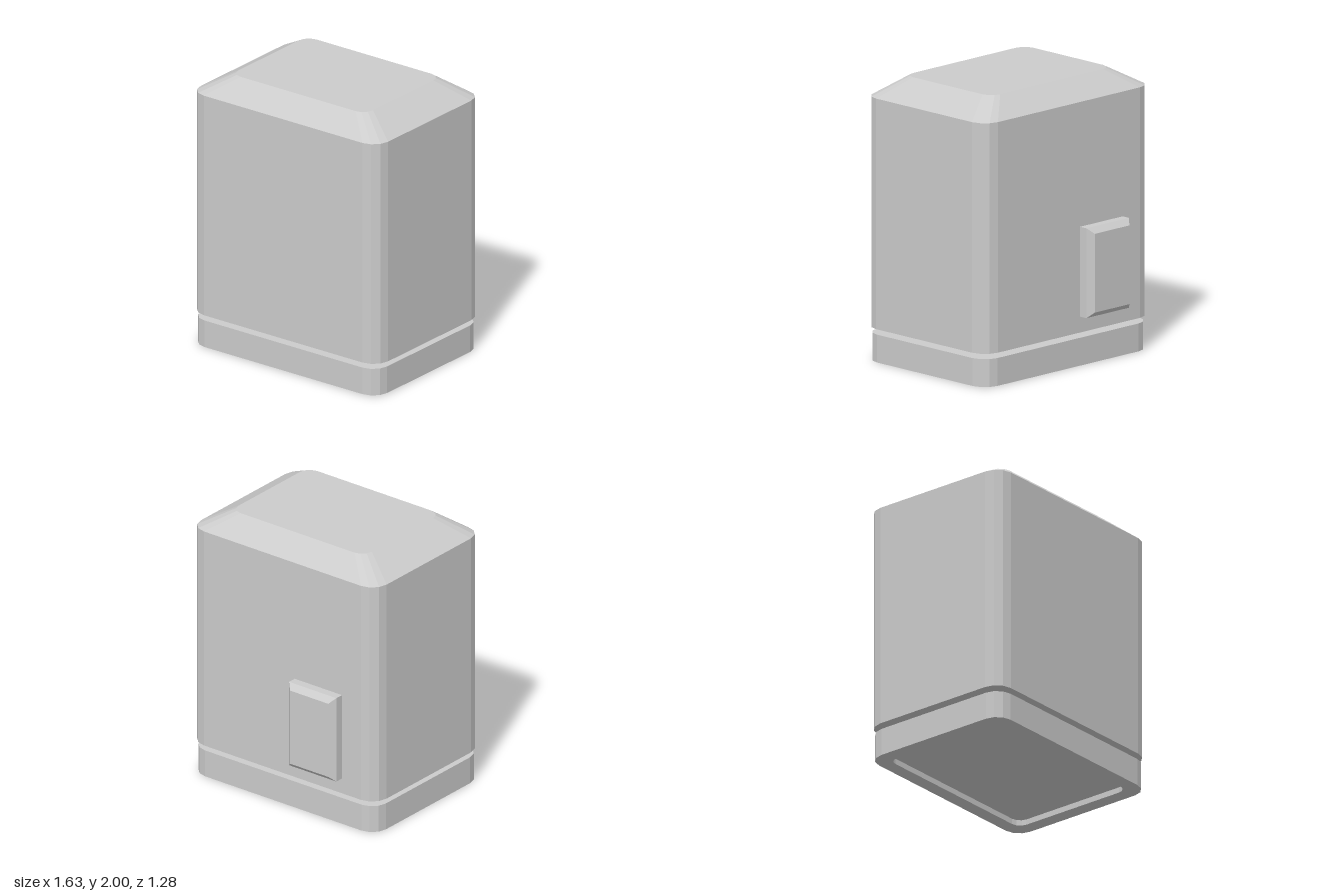
import * as THREE from 'three';

// Rounded-rectangle cross-section at height y, anticlockwise seen from above
function ring(y, x0, x1, z0, z1, r, segments = 3) {
  const corners = [[x1 - r, z0 + r], [x0 + r, z0 + r], [x0 + r, z1 - r], [x1 - r, z1 - r]];
  const points = [];
  corners.forEach(([cx, cz], q) => {
    const n = r > 0 ? segments : 0;
    for (let i = 0; i <= n; i++) {
      const a = (q + (n ? i / n : 0)) * Math.PI / 2;
      points.push(new THREE.Vector3(cx + r * Math.cos(a), y, cz - r * Math.sin(a)));
    }
  });
  return points;
}

// Faceted skin through successive rings, closed at both ends
function loft(name, rings, material) {
  const n = rings[0].length;
  const tris = [];
  for (let k = 0; k < rings.length - 1; k++) {
    const a = rings[k], b = rings[k + 1];
    for (let i = 0; i < n; i++) {
      const j = (i + 1) % n;
      tris.push(a[i], a[j], b[j], a[i], b[j], b[i]);
    }
  }
  const first = rings[0], last = rings[rings.length - 1];
  for (let i = 1; i < n - 1; i++) {
    tris.push(first[0], first[i + 1], first[i]);
    tris.push(last[0], last[i], last[i + 1]);
  }
  const geometry = new THREE.BufferGeometry().setFromPoints(tris);
  geometry.computeVertexNormals();
  const mesh = new THREE.Mesh(geometry, material);
  mesh.name = name;
  return mesh;
}

export function createModel() {
  const model = new THREE.Group();
  model.name = 'cabinet';
  const grey = new THREE.MeshStandardMaterial({ color: 0xcccccc, flatShading: true });

  // Base plinth with a shallow recess underneath
  model.add(loft('base', [
    ring(0.04, -0.7, 0.7, -0.43, 0.53, 0.07),
    ring(0, -0.7, 0.7, -0.43, 0.53, 0.07),
    ring(0, -0.805, 0.805, -0.532, 0.635, 0.12),
    ring(0.197, -0.805, 0.805, -0.532, 0.635, 0.12),
  ], grey));

  // Narrow neck between base and body
  model.add(loft('neck', [
    ring(0.19, -0.565, 0.565, -0.355, 0.463, 0.085),
    ring(0.245, -0.565, 0.565, -0.355, 0.463, 0.085),
  ], grey));

  // Main body with sloped top
  model.add(loft('body', [
    ring(0.237, -0.813, 0.813, -0.54, 0.64, 0.125),
    ring(1.867, -0.813, 0.813, -0.54, 0.64, 0.125),
    ring(2, -0.583, 0.583, -0.373, 0.472, 0.085),
  ], grey));

  // Bevelled panel on the back, lofted upwards and then turned to face -z
  const panel = loft('backPanel', [
    ring(0.53, -0.522, -0.108, 0.35, 0.985, 0),
    ring(0.602, -0.522, -0.108, 0.35, 0.985, 0),
    ring(0.643, -0.483, -0.149, 0.389, 0.946, 0),
  ], grey);
  panel.rotation.x = -Math.PI / 2;
  // Local z becomes world -(-z): the turn maps (x, y, z) to (x, z, -y)
  model.add(panel);

  return model;
}
